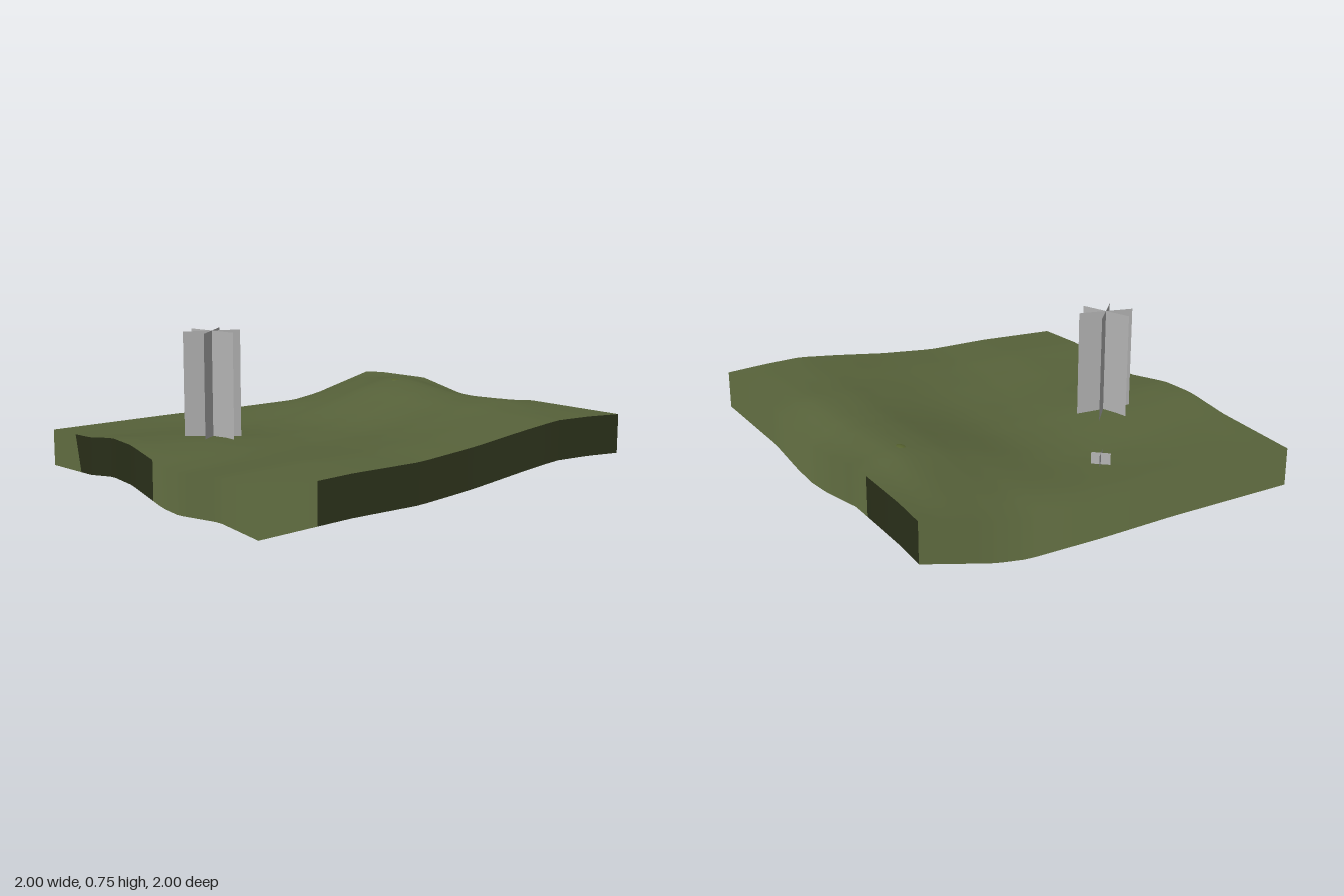
import * as THREE from 'three';

const SKIRT = 0.187;
const N = 36;

// Height profiles of the four lower edges, as [position, height] pairs
const FRONT = [[-1, .08], [-.55, .1], [-.2, .102], [.1, .13], [.4, .17], [.6, .193], [.8, .19], [1, .18]];
const BACK = [[-1, .005], [-.3, .014], [.1, .01], [.48, .015], [.64, .04], [1, .135]];
const LEFT = [[-1, .005], [-.55, .04], [-.3, .079], [-.1, .079], [.2, .036], [.35, .036], [.7, .084], [1, .08]];
const RIGHT = [[-1, .135], [-.85, .153], [-.45, .17], [-.15, .125], [0, .115], [.15, .125], [.4, .163], [1, .18]];

function sample(profile, t) {
  let i = 0;
  while (i < profile.length - 2 && t > profile[i + 1][0]) i++;
  const [a, b] = [profile[i], profile[i + 1]];
  return THREE.MathUtils.lerp(a[1], b[1], (t - a[0]) / (b[0] - a[0]));
}

const hill = (x, z, cx, cz, sx, sz) => Math.exp(-(((x - cx) / sx) ** 2) - ((z - cz) / sz) ** 2);

// Ground height: the edges blended inward, plus a ridge and a hollow
function groundHeight(x, z) {
  const { lerp } = THREE.MathUtils;
  const u = (x + 1) / 2, v = (z + 1) / 2;
  const sides = lerp(sample(LEFT, z), sample(RIGHT, z), u);
  const ends = lerp(sample(BACK, x), sample(FRONT, x), v);
  const corners = lerp(lerp(.005, .135, u), lerp(.08, .18, u), v);
  const inside = Math.min(1, 3 * (1 - x * x)) * Math.min(1, 3 * (1 - z * z));
  const relief = .09 * hill(x, z, .66, -.15, .38, .6) - .055 * hill(x, z, -.12, -.42, .55, .42);
  return SKIRT + sides + ends - corners + inside * relief;
}

function makeGround() {
  const g = new THREE.PlaneGeometry(2, 2, N, N).rotateX(-Math.PI / 2);
  const p = g.attributes.position;
  for (let i = 0; i < p.count; i++) p.setY(i, groundHeight(p.getX(i), p.getZ(i)));
  g.computeVertexNormals();
  return g;
}

// Hanging border that keeps the ground's normals, so it blends with the top
function makeSkirt(ground) {
  const p = ground.attributes.position, n = ground.attributes.normal, row = N + 1;
  const loop = [];
  for (let i = 0; i < N; i++) loop.push(N * row + i);
  for (let i = N; i > 0; i--) loop.push(i * row + N);
  for (let i = N; i > 0; i--) loop.push(i);
  for (let i = 0; i < N; i++) loop.push(i * row);
  const pos = [], nor = [], index = [];
  loop.forEach((k, i) => {
    for (const drop of [0, SKIRT]) {
      pos.push(p.getX(k), p.getY(k) - drop, p.getZ(k));
      nor.push(n.getX(k), n.getY(k), n.getZ(k));
    }
    const a = 2 * i, b = 2 * ((i + 1) % loop.length);
    index.push(a, a + 1, b + 1, a, b + 1, b);
  });
  const g = new THREE.BufferGeometry();
  g.setAttribute('position', new THREE.Float32BufferAttribute(pos, 3));
  g.setAttribute('normal', new THREE.Float32BufferAttribute(nor, 3));
  g.setIndex(index);
  return g;
}

// Upright cards crossing on one axis
function crossedCards(name, material, count, width, bottom, top, turn) {
  const group = new THREE.Group();
  group.name = name;
  for (let i = 0; i < count; i++) {
    const card = new THREE.Mesh(new THREE.PlaneGeometry(width, top - bottom), material);
    card.name = 'card';
    card.position.y = (top + bottom) / 2;
    card.rotation.y = turn + i * Math.PI / count;
    group.add(card);
  }
  return group;
}

export function createModel() {
  const grass = new THREE.MeshStandardMaterial({ color: 0x57623a, side: THREE.DoubleSide });
  grass.name = 'grass green';
  const grey = new THREE.MeshStandardMaterial({ color: 0xb6b6b6, side: THREE.DoubleSide });
  grey.name = 'pale grey';
  const moss = new THREE.MeshStandardMaterial({ color: 0x56622f });
  moss.name = 'moss green';

  const model = new THREE.Group();
  model.name = 'terrainTile';

  const groundGeometry = makeGround();
  const ground = new THREE.Mesh(groundGeometry, grass);
  ground.name = 'ground';
  const skirt = new THREE.Mesh(makeSkirt(groundGeometry), grass);
  skirt.name = 'groundSkirt';

  // Tall tree stand-in and small bush stand-in
  const tree = crossedCards('treeCards', grey, 3, .28, .2, .75, Math.PI / 4);
  tree.position.set(-.515, 0, -.195);
  const bush = crossedCards('bushCards', grey, 2, .09, .175, .25, Math.PI / 4);
  bush.position.set(-.135, 0, -.68);

  // Rounded stone half sunk in the ridge
  const stone = new THREE.Mesh(new THREE.SphereGeometry(1, 8, 6), moss);
  stone.name = 'boulder';
  stone.scale.set(.043, .031, .051);
  stone.position.set(.75, .35, -.39);

  model.add(ground, skirt, tree, bush, stone);
  return model;
}
